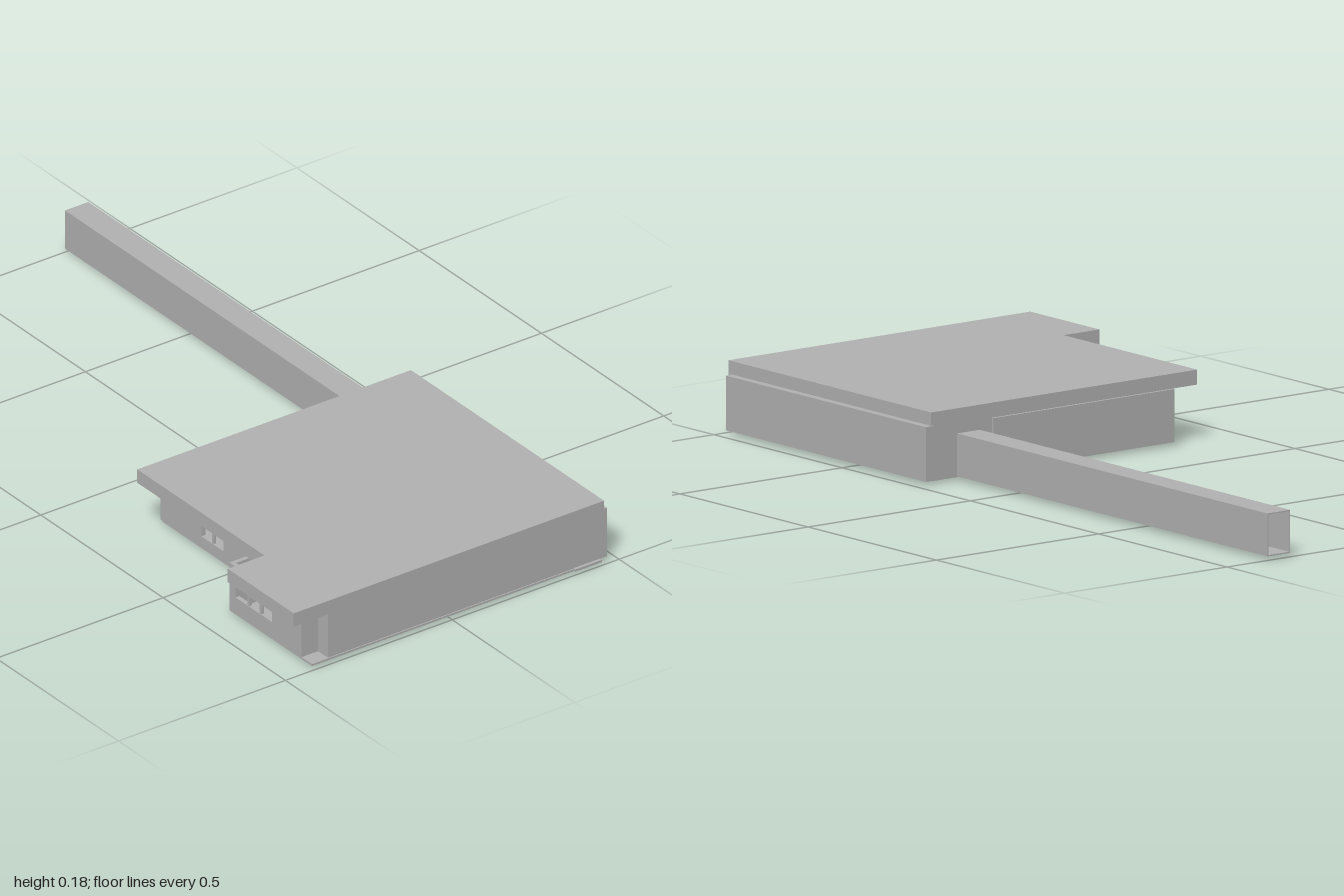
import * as THREE from 'three';

export function createModel() {
  const model = new THREE.Group();
  const grey = new THREE.MeshStandardMaterial({ color: 0xb2b2b2 });
  grey.name = 'plain grey';

  const add = (name, geometry) => {
    const mesh = new THREE.Mesh(geometry, grey);
    mesh.name = name;
    model.add(mesh);
    return mesh;
  };

  // Box given by its limits on each axis
  const box = (name, x0, x1, y0, y1, z0, z1) =>
    add(name, new THREE.BoxGeometry(x1 - x0, y1 - y0, z1 - z0)
      .translate((x0 + x1) / 2, (y0 + y1) / 2, (z0 + z1) / 2));

  const polygon = (points) => new THREE.Shape(points.map(([x, y]) => new THREE.Vector2(x, y)));
  const rect = (a0, a1, b0, b1) => [[a0, b0], [a1, b0], [a1, b1], [a0, b1]];
  const extrude = (shape, depth) => new THREE.ExtrudeGeometry(shape, { depth, bevelEnabled: false });

  // Horizontal slab with an outline in x and z
  const slab = (name, outline, y0, y1) =>
    add(name, extrude(polygon(outline.map(([x, z]) => [x, -z])), y1 - y0)
      .rotateX(-Math.PI / 2).translate(0, y0, 0));

  // Side wall facing -x, with rectangular openings in z and y
  const T = 0.012;
  const sideWall = (name, x, z0, z1, openings) => {
    const shape = polygon(rect(z0, z1, 0.01, 0.141));
    openings.forEach((o) => shape.holes.push(polygon(rect(...o))));
    add(name, extrude(shape, T).rotateY(-Math.PI / 2).translate(x + T, 0, 0));
  };

  // Roof and floor, both L-shaped
  slab('roof', [[-0.475, 1], [0.455, 1], [0.455, 0.21], [-0.365, 0.21],
    [-0.365, 0.73], [-0.475, 0.73]], 0.141, 0.178);
  slab('floor', [[-0.415, 0.993], [0.45, 0.993], [0.45, 0.21], [-0.29, 0.21],
    [-0.29, 0.655], [-0.415, 0.655]], 0.008, 0.013);
  box('frontThreshold', 0.37, 0.45, 0.008, 0.014, 0.99, 0.998);

  // Outer walls
  box('frontWall', -0.365, 0.449, 0.01, 0.141, 0.978, 0.99);
  box('outerLeftWall', 0.449, 0.475, 0.01, 0.145, 0.205, 0.985);
  box('backWall', -0.29, 0.268, 0.01, 0.141, 0.203, 0.215);
  box('backWallRecess', 0.268, 0.449, 0.01, 0.141, 0.21, 0.222);
  sideWall('rightWall', -0.29, 0.215, 0.667, [[0.37, 0.46, 0.04, 0.1]]);

  // Annex
  box('annexBackWall', -0.415, -0.278, 0.01, 0.141, 0.655, 0.667);
  sideWall('annexSideWall', -0.415, 0.667, 0.95, [[0.68, 0.83, 0.055, 0.13]]);
  box('annexFrontWall', -0.415, -0.353, 0.01, 0.141, 0.938, 0.95);
  box('annexReturn', -0.365, -0.353, 0.01, 0.141, 0.95, 0.978);
  box('annexInnerWall', -0.29, -0.278, 0.01, 0.141, 0.667, 0.978);

  // Window bars
  box('windowMullion', -0.288, -0.281, 0.04, 0.1, 0.411, 0.418);
  box('windowTransom', -0.288, -0.281, 0.068, 0.073, 0.37, 0.46);
  for (const z of [0.73, 0.78]) box('annexMullion', -0.413, -0.405, 0.055, 0.13, z - 0.004, z + 0.004);

  // Long corridor, open at the far end
  const tube = polygon(rect(0.305, 0.375, 0.01, 0.116));
  tube.holes.push(polygon(rect(0.308, 0.372, 0.013, 0.113)));
  add('corridor', extrude(tube, 1.212).translate(0, 0, -1));

  // Low fittings beneath the floor
  box('undersidePad', -0.155, -0.106, 0, 0.008, 0.24, 0.29);
  [[-0.23, -0.16, 0.3], [-0.07, -0.03, 0.36], [0.02, 0.035, 0.5], [0.06, 0.07, 0.62]]
    .forEach(([x0, x1, z]) => box('undersideStrip', x0, x1, 0.005, 0.008, z, z + 0.03));

  return model;
}
